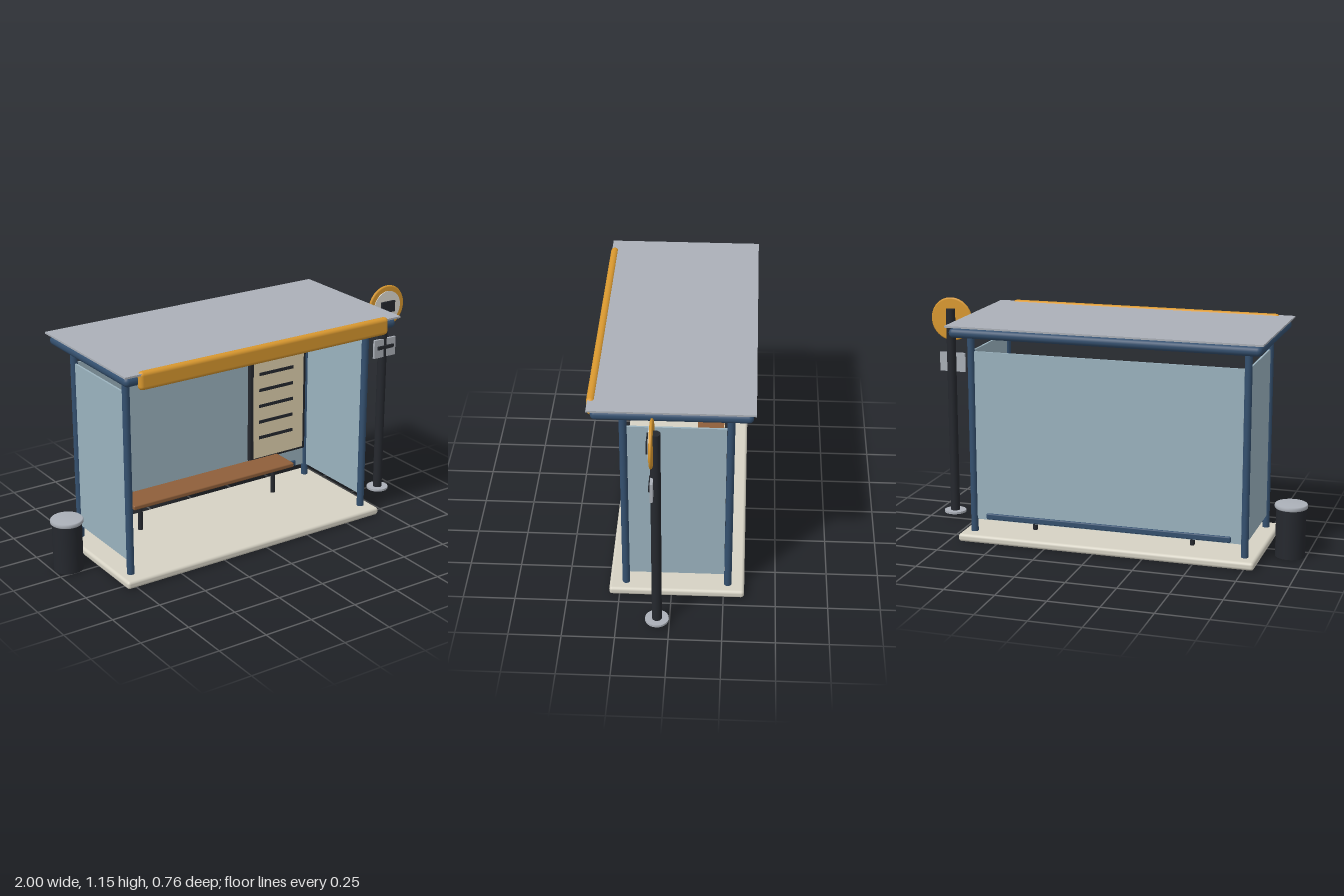
import * as THREE from 'three';
import { RoundedBoxGeometry } from 'three/addons/geometries/RoundedBoxGeometry.js';

const mat = (color) => new THREE.MeshStandardMaterial({ color });

export function createModel() {
  const model = new THREE.Group();
  const navy = mat(0x34506f), dark = mat(0x25282e), yellow = mat(0xd9982f), glass = mat(0x9bb3bf);
  const metal = mat(0xabb0b8), concrete = mat(0xd6d2c4), wood = mat(0x8f5f3a), paper = mat(0xe2d3b0);
  const white = mat(0xdedbd2);

  const add = (name, geometry, material, x, y, z, parent = model) => {
    const mesh = new THREE.Mesh(geometry, material);
    mesh.name = name;
    mesh.position.set(x, y, z);
    parent.add(mesh);
    return mesh;
  };
  const box = (w, h, d) => new THREE.BoxGeometry(w, h, d);
  const round = (w, h, d, r, s = 3) => new RoundedBoxGeometry(w, h, d, s, r);
  const cyl = (r, h, n = 24) => new THREE.CylinderGeometry(r, r, h, n);
  const lathe = (points, n = 32) => new THREE.LatheGeometry(points.map(([r, y]) => new THREE.Vector2(r, y)), n);

  // Shelter: everything is centred on cx, cz
  const cx = -0.05, cz = -0.025, px = 0.69, pz = 0.245;
  const shelter = new THREE.Group();
  shelter.name = 'shelter';
  shelter.position.set(cx, 0, cz);
  model.add(shelter);
  add('floorSlab', round(1.5, 0.04, 0.65, 0.015), concrete, 0, 0.02, 0, shelter);
  for (const sx of [-1, 1]) {
    for (const sz of [-1, 1]) add('post', cyl(0.018, 0.997, 16), navy, sx * px, 0.5385, sz * pz, shelter);
    add('sideGlass', box(0.01, 0.853, 0.453), glass, sx * px, 0.53, 0, shelter);
  }
  add('backGlass', box(1.345, 0.853, 0.01), glass, 0, 0.53, -pz, shelter);
  add('bottomRail', round(1.245, 0.03, 0.03, 0.006, 2), navy, 0, 0.122, -pz, shelter);

  // Roof
  add('roofFrame', round(1.54, 0.047, 0.73, 0.0225), navy, cx, 1.0585, -0.005);
  add('roofPanel', box(1.56, 0.009, 0.757), metal, cx, 1.092, -0.003);
  add('frontFascia', round(1.41, 0.089, 0.04, 0.0195, 2), yellow, cx, 1.06, 0.362);

  // Bench
  const bench = new THREE.Group();
  bench.name = 'bench';
  bench.position.set(cx, 0, -0.166);
  model.add(bench);
  add('benchSeat', round(0.972, 0.024, 0.16, 0.007, 2), wood, 0, 0.205, 0, bench);
  for (const s of [-1, 1]) add('benchLeg', cyl(0.0125, 0.16, 12), dark, s * 0.406, 0.118, 0, bench);

  // Timetable on the back glass
  const board = new THREE.Group();
  board.name = 'timetable';
  board.position.set(0.436, 0.508, -0.25);
  model.add(board);
  add('boardFrame', round(0.362, 0.605, 0.025, 0.012), dark, 0, 0, 0, board);
  add('boardSheet', box(0.316, 0.563, 0.006), paper, 0.002, -0.004, 0.0125, board);
  for (let i = 0; i < 5; i++) add('boardLine', box(0.214, 0.017, 0.004), dark, -0.016, 0.182 - i * 0.0885, 0.0165, board);

  // Stop pole with round sign and small plate
  const stop = new THREE.Group();
  stop.name = 'stopPole';
  stop.position.set(0.884, 0, 0.058);
  model.add(stop);
  add('pole', cyl(0.0235, 1.095), dark, 0, 0.5475, 0, stop);
  add('poleFlange', cyl(0.056, 0.011, 32), metal, 0, 0.0225, 0, stop);
  const disc = lathe([[0, -0.0075], [0.103, -0.0075], [0.109, -0.005], [0.1115, 0], [0.109, 0.005], [0.103, 0.0075], [0, 0.0075]], 48);
  add('signDisc', disc.rotateX(Math.PI / 2), yellow, 0, 1.04, 0.0165, stop);
  add('signFace', cyl(0.083, 0.008, 48).rotateX(Math.PI / 2), white, 0, 1.04, 0.024, stop);
  add('signSymbol', box(0.084, 0.058, 0.012), dark, 0, 1.041, 0.033, stop);
  add('plate', box(0.137, 0.098, 0.013), metal, 0, 0.817, 0.0155, stop);
  add('plateBar', box(0.102, 0.018, 0.01), dark, 0, 0.822, 0.0255, stop);

  // Litter bin
  const bin = new THREE.Group();
  bin.name = 'litterBin';
  bin.position.set(-0.92, 0, -0.066);
  model.add(bin);
  add('binBody', cyl(0.0725, 0.245, 32), dark, 0, 0.1225, 0, bin);
  add('binLid', lathe([[0, 0.243], [0.077, 0.243], [0.08, 0.247], [0.08, 0.259], [0.076, 0.264], [0, 0.265]]), metal, 0, 0, 0, bin);

  return model;
}
